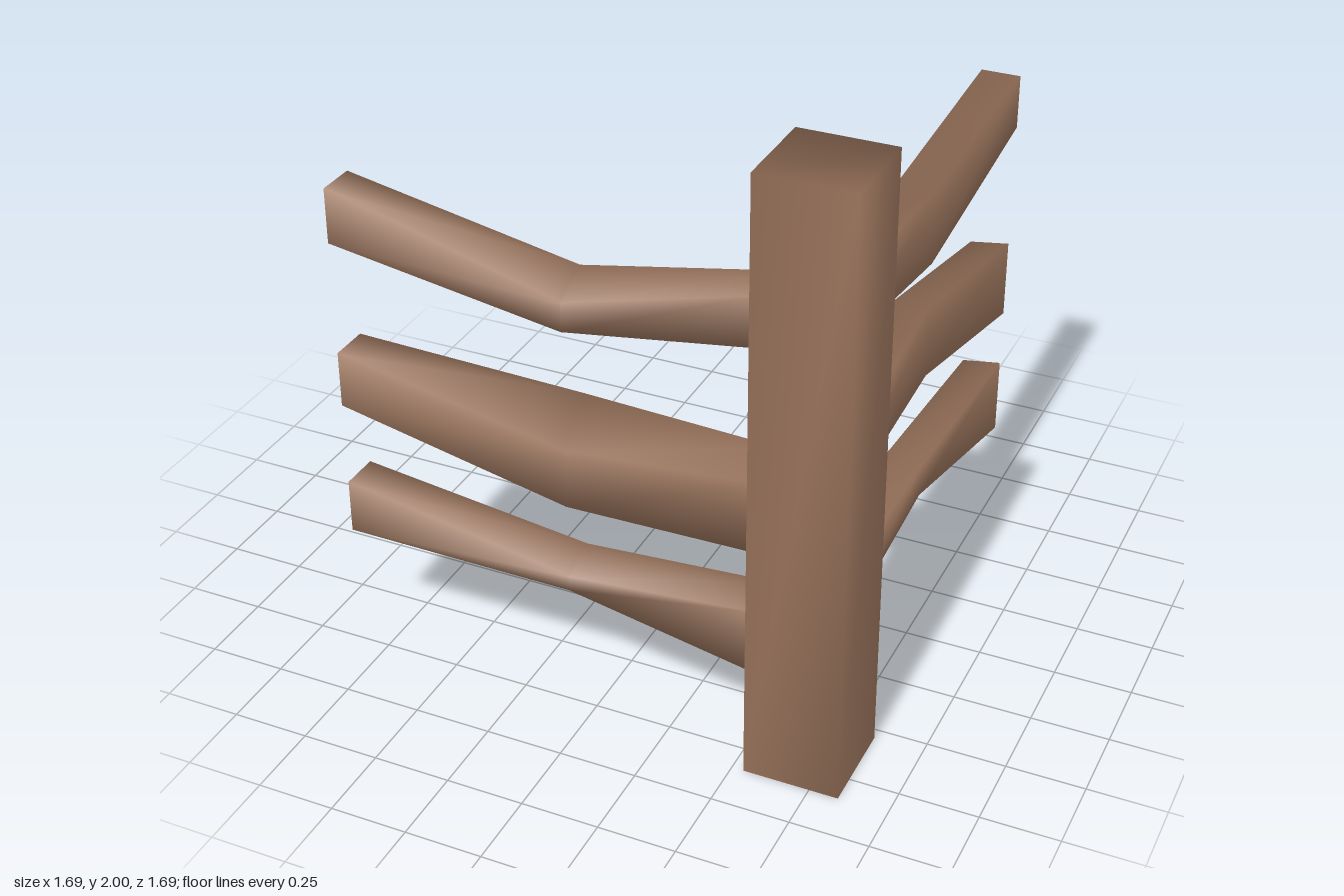
import * as THREE from 'three';
import { mergeVertices } from 'three/addons/utils/BufferGeometryUtils.js';

const wood = new THREE.MeshStandardMaterial({ color: 0x9a745c });
wood.name = 'brownWood';

// box with shared corners, so its shading is soft all round
function softBox(w, h, d, xSegments = 1, zSegments = 1) {
  const box = new THREE.BoxGeometry(w, h, d, xSegments, 1, zSegments);
  box.deleteAttribute('normal');
  box.deleteAttribute('uv');
  return mergeVertices(box);
}

function addMesh(group, name, geometry) {
  geometry.computeVertexNormals();
  const mesh = new THREE.Mesh(geometry, wood);
  mesh.name = name;
  group.add(mesh);
}

// rail bent in the middle, along x or z; each section, from the free end to the post,
// is [position, outer top, outer bottom, inner top, inner bottom]
function railGeometry(axis, inner, outer, sections) {
  const alongX = axis === 'x';
  const geometry = alongX ? softBox(2, 2, 2, 2, 1) : softBox(2, 2, 2, 1, 2);
  const p = geometry.attributes.position;
  for (let i = 0; i < p.count; i++) {
    const along = alongX ? p.getX(i) : p.getZ(i);
    const isOuter = (alongX ? p.getZ(i) : p.getX(i)) > 0;
    const s = sections[Math.round(along) + 1];
    const y = s[(isOuter ? 1 : 3) + (p.getY(i) > 0 ? 0 : 1)];
    const side = isOuter ? outer : inner;
    if (alongX) p.setXYZ(i, s[0], y, side);
    else p.setXYZ(i, side, y, s[0]);
  }
  return geometry;
}

export function createModel() {
  const group = new THREE.Group();
  group.name = 'cornerFence';

  // corner post
  const post = softBox(0.305, 2, 0.305);
  post.translate(0.69, 1, 0.692);
  addMesh(group, 'cornerPost', post);

  // rails running sideways, top to bottom
  const sideRails = [
    [[-0.845, 1.63, 1.45, 1.63, 1.45], [-0.08, 1.425, 1.33, 1.485, 1.385], [0.54, 1.59, 1.425, 1.605, 1.44]],
    [[-0.845, 1.075, 0.89, 1.075, 0.89], [-0.08, 0.925, 0.73, 1.055, 0.85], [0.54, 0.98, 0.74, 1.03, 0.8]],
    [[-0.845, 0.61, 0.43, 0.61, 0.43], [-0.08, 0.475, 0.425, 0.515, 0.47], [0.54, 0.53, 0.305, 0.555, 0.34]],
  ];
  sideRails.forEach((s, i) => addMesh(group, `sideRail${i + 1}`, railGeometry('x', 0.63, 0.76, s)));

  // rails running backwards, top to bottom
  const backRails = [
    [[-0.845, 1.63, 1.45, 1.63, 1.45], [-0.04, 1.59, 1.345, 1.575, 1.33], [0.545, 1.625, 1.425, 1.62, 1.42]],
    [[-0.845, 1.025, 0.76, 1.005, 0.74], [-0.04, 1.195, 0.955, 1.175, 0.935], [0.545, 1.1, 0.905, 1.1, 0.9]],
    [[-0.845, 0.565, 0.305, 0.545, 0.28], [-0.04, 0.62, 0.515, 0.615, 0.515], [0.545, 0.615, 0.45, 0.615, 0.45]],
  ];
  backRails.forEach((s, i) => addMesh(group, `backRail${i + 1}`, railGeometry('z', 0.625, 0.755, s)));

  return group;
}
